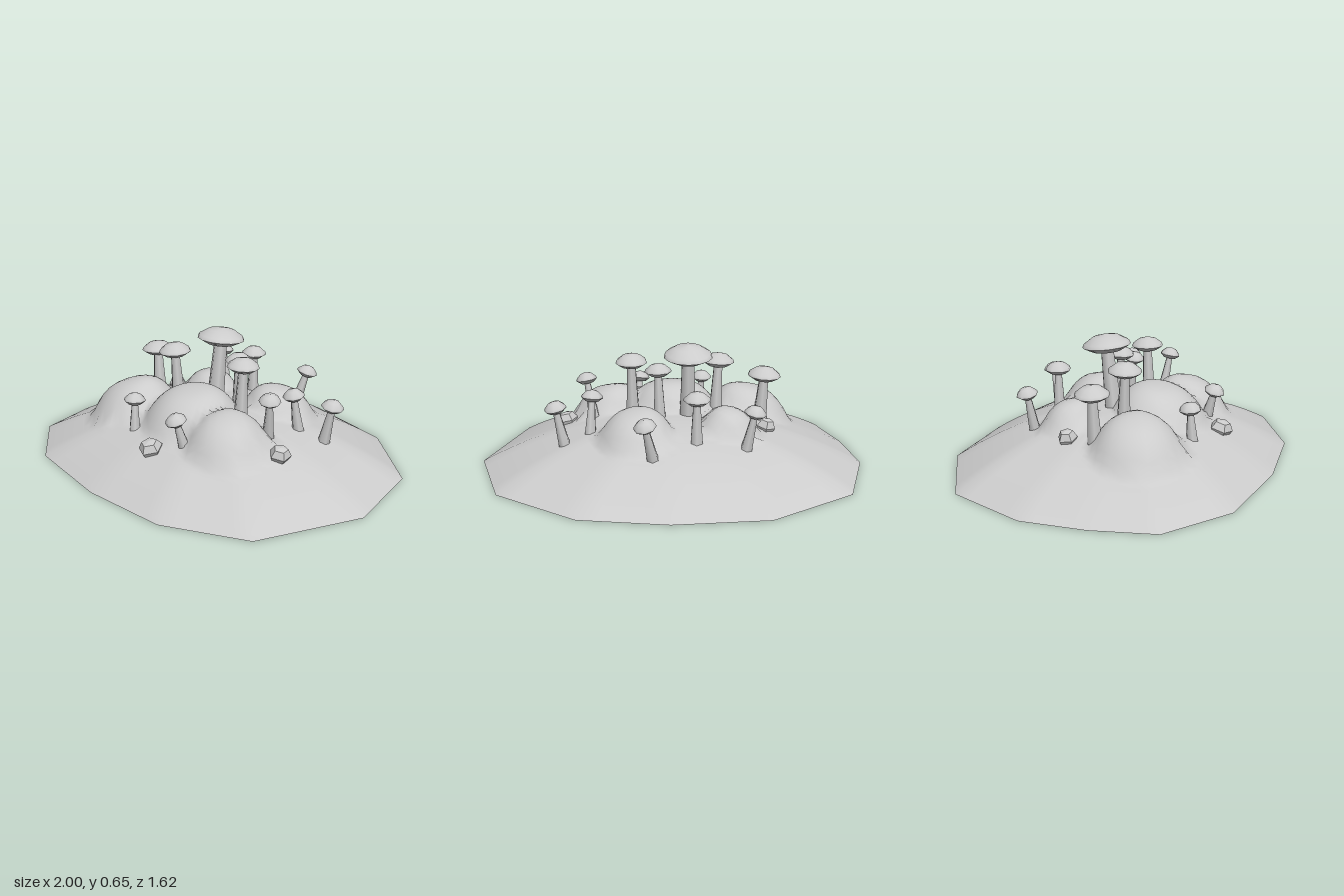
import * as THREE from 'three';

const grey = new THREE.MeshStandardMaterial({ color: 0xcccccc, side: THREE.DoubleSide });
grey.name = 'clay grey';

// Ground outline (x, z), clockwise from the back
const OUTLINE = [
  [0, -0.81], [0.435, -0.76], [0.85, -0.48], [1, -0.03], [0.84, 0.5], [0.46, 0.74], [0, 0.81],
  [-0.51, 0.78], [-0.85, 0.57], [-0.95, 0.27], [-1, -0.05], [-0.88, -0.47], [-0.465, -0.76],
];

// Humps on the mound: x, z, radius, height
const HUMPS = [
  [0, 0.2, 0.25, 0.135], [-0.43, 0.27, 0.23, 0.14], [0.34, 0.23, 0.21, 0.13],
  [0.18, -0.26, 0.19, 0.115], [-0.3, -0.17, 0.15, 0.1],
];

// Mushrooms: cap x, cap top y, cap z, cap radius, foot x, foot z
const MUSHROOMS = [
  [-0.085, 0.647, -0.075, 0.125, -0.085, -0.03],
  [-0.49, 0.5, 0.055, 0.087, -0.47, 0.06],
  [-0.25, 0.56, 0.115, 0.085, -0.235, 0.1],
  [0.21, 0.577, 0.025, 0.083, 0.205, 0.04],
  [0.455, 0.465, 0.065, 0.055, 0.405, 0.03],
  [0.07, 0.548, -0.06, 0.07, 0.06, -0.07],
  [0.4, 0.43, -0.135, 0.056, 0.415, -0.17],
  [0.585, 0.4, -0.24, 0.057, 0.535, -0.225],
  [0.13, 0.395, -0.515, 0.056, 0.085, -0.45],
  [-0.125, 0.48, -0.335, 0.068, -0.125, -0.33],
  [-0.415, 0.415, -0.355, 0.055, -0.365, -0.335],
  [-0.17, 0.375, 0.425, 0.056, -0.16, 0.44],
  [0.18, 0.37, 0.435, 0.055, 0.19, 0.38],
];

// Stones: x, z, radius, turn
const STONES = [[0.075, 0.505, 0.062, 0.3], [0.56, 0.09, 0.056, 1.2], [-0.49, -0.08, 0.05, 0.6]];

const dome = t => 0.27 * (1 - t * t);
const hump = (x, z) => Math.max(0, ...HUMPS.map(([hx, hz, r, h]) =>
  h * (1 - (Math.hypot(x - hx, z - hz) / r) ** 3)));
const groundY = (x, z) => dome(Math.hypot(x, z / 0.81)) + hump(x, z);

// Mound: rings from the centre out to the angular outline, open below
function moundGeometry(rings = 32, split = 5) {
  const count = OUTLINE.length * split, pos = [], index = [];
  for (let i = 0; i <= rings; i++) {
    const t = i / rings;
    for (let j = 0; j < count; j++) {
      const a = OUTLINE[Math.floor(j / split)];
      const b = OUTLINE[(Math.floor(j / split) + 1) % OUTLINE.length];
      const f = (j % split) / split;
      const x = t * (a[0] + (b[0] - a[0]) * f), z = t * (a[1] + (b[1] - a[1]) * f);
      pos.push(x, dome(t) + hump(x, z), z);
      if (i === rings) continue;
      const p = i * count + j, q = i * count + (j + 1) % count;
      if (i > 0) index.push(p, q, p + count);
      index.push(q, q + count, p + count);
    }
  }
  const g = new THREE.BufferGeometry();
  g.setAttribute('position', new THREE.Float32BufferAttribute(pos, 3));
  g.setIndex(index);
  g.computeVertexNormals();
  return g;
}

function lathe(points, sides) {
  return new THREE.LatheGeometry(points.map(p => new THREE.Vector2(...p)), sides);
}

function add(parent, name, geometry) {
  const mesh = new THREE.Mesh(geometry, grey);
  mesh.name = name;
  parent.add(mesh);
  return mesh;
}

// Mushroom: tapered hollow stem and domed cap, leaning from foot to cap
function mushroom([x, y, z, r, fx, fz]) {
  const group = new THREE.Group();
  group.name = 'mushroom';
  const foot = new THREE.Vector3(fx, groundY(fx, fz) - 0.03, fz);
  const lean = new THREE.Vector3(x, y, z).sub(foot);
  const len = lean.length(), capH = 0.04 + 0.45 * r;
  group.position.copy(foot);
  group.quaternion.setFromUnitVectors(new THREE.Vector3(0, 1, 0), lean.normalize());

  const stemLen = len - capH * 0.6;
  const stem = new THREE.CylinderGeometry(0.28 * r, 0.02 + 0.23 * r, stemLen, 6, 1, true);
  add(group, 'stem', stem.translate(0, stemLen / 2, 0));

  const sides = r > 0.1 ? 14 : r > 0.075 ? 11 : 8;
  add(group, 'capTop', lathe([[r, -0.64 * capH], [0.93 * r, -0.45 * capH],
    [0.55 * r, -0.14 * capH], [0, 0]], sides)).position.y = len;
  add(group, 'capUnderside', lathe([[0.2 * r, -0.95 * capH], [0.6 * r, -0.92 * capH],
    [r, -0.64 * capH]], sides)).position.y = len;
  return group;
}

export function createModel() {
  const model = new THREE.Group();
  model.name = 'mushroomMound';
  add(model, 'mound', moundGeometry());
  MUSHROOMS.forEach(m => model.add(mushroom(m)));

  // Five-sided faceted stones leaning with the slope
  for (const [x, z, r, turn] of STONES) {
    const g = lathe([[0.75 * r, -0.03], [r, 0], [0.65 * r, 0.035], [0, 0.042]], 5).toNonIndexed();
    g.computeVertexNormals();
    const stone = add(model, 'stone', g.rotateY(turn));
    stone.position.set(x, groundY(x, z) + 0.012, z);
    stone.rotation.set(z * 0.5, 0, -x * 0.4);
  }
  return model;
}
